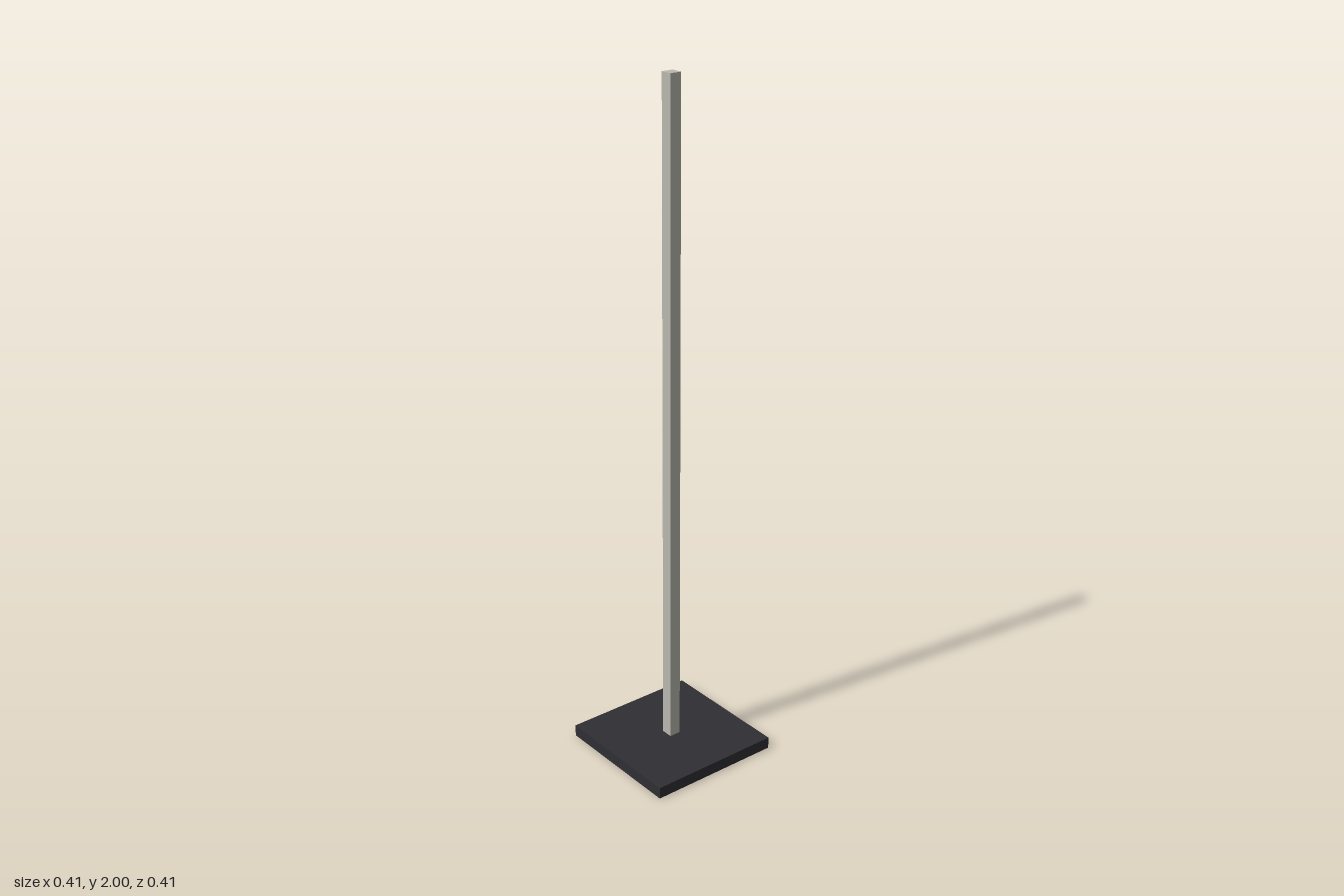
import * as THREE from 'three';

const BASE = { width: 0.41, height: 0.036 };
const POST = { width: 0.035, top: 2 };

export function createModel() {
  const model = new THREE.Group();
  const dark = new THREE.MeshStandardMaterial({ color: 0x302f34 });
  const pale = new THREE.MeshStandardMaterial({ color: 0xb9b9b0 });

  const add = (name, geometry, material, x, y, z, parent = model) => {
    const mesh = new THREE.Mesh(geometry, material);
    mesh.name = name;
    mesh.position.set(x, y, z);
    parent.add(mesh);
    return mesh;
  };

  // Square foot plate, a hair above the ground so the fixing shows below
  const plateHeight = BASE.height - 0.001;
  add('basePlate', new THREE.BoxGeometry(BASE.width, plateHeight, BASE.width),
    dark, 0, 0.001 + plateHeight / 2, 0);

  // Upright post made of four square bars set side by side
  const post = new THREE.Group();
  post.name = 'post';
  model.add(post);
  const bar = POST.width / 2;
  const length = POST.top - BASE.height;
  const barGeometry = new THREE.BoxGeometry(bar, length, bar);
  for (const sx of [-1, 1]) {
    for (const sz of [-1, 1]) {
      add('postBar', barGeometry, pale, sx * bar / 2, BASE.height + length / 2, sz * bar / 2, post);
    }
  }

  // Fixing pin that holds the post through the plate
  add('fixingPin', new THREE.CylinderGeometry(0.016, 0.016, BASE.height, 12),
    pale, 0, BASE.height / 2, 0);

  return model;
}
